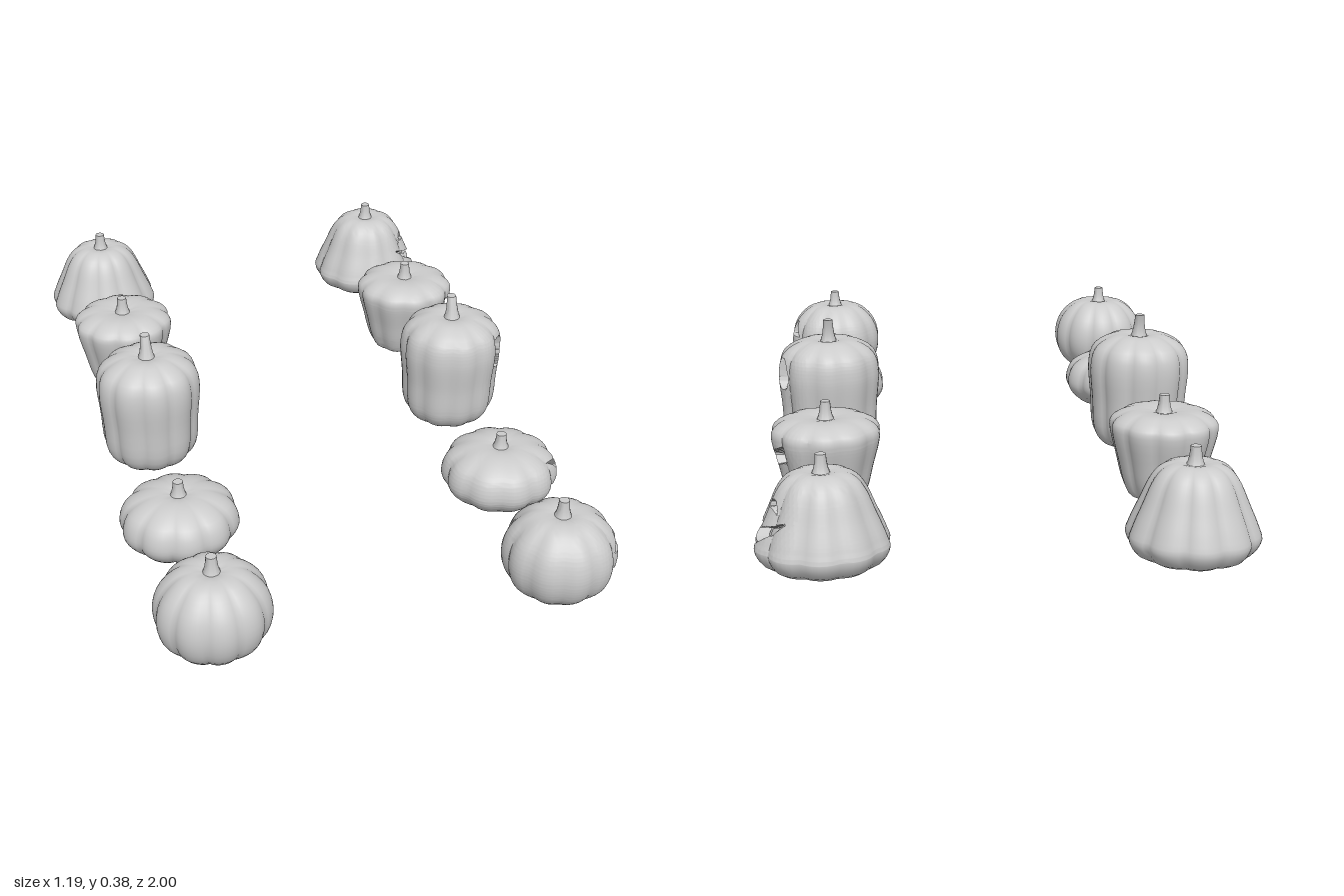
import * as THREE from 'three';
import { toCreasedNormals } from 'three/addons/utils/BufferGeometryUtils.js';

const material = new THREE.MeshStandardMaterial({ color: 0xcccccc });
const LOBES = 10, CARVE_DEPTH = 0.03, SNAP = 0.0013;

// Face outlines are [across, up] in hundredths of a unit, seen from the carved side
const mirror = (pts) => pts.map(([u, v]) => [-u, v]).reverse();
const pair = (pts) => [pts, mirror(pts)];
const symmetric = (half) => [...half, ...mirror(half)];

function oval(u, v, ru, rv, tilt = 0, sides = 28) {
  return Array.from({ length: sides }, (_, i) => {
    const a = (i / sides) * Math.PI * 2, x = ru * Math.cos(a), y = rv * Math.sin(a);
    return [u + x * Math.cos(tilt) - y * Math.sin(tilt), v + x * Math.sin(tilt) + y * Math.cos(tilt)];
  });
}

// Small upright triangle for a nose
const nose = (top, bottom, half) => [[0, top], [half, bottom], [-half, bottom]];

// Crescent between two parabolas that meet at its corners
function crescent(u, halfWidth, corner, top, bottom) {
  const edge = (mid) => Array.from({ length: 17 }, (_, i) => {
    const k = i / 8 - 1;
    return [u + k * halfWidth, mid + (corner - mid) * k * k];
  });
  return [...edge(top), ...edge(bottom).reverse().slice(1, -1)];
}

// Zigzag band with pointed ends
function zigzag(halfWidth, v, swing, thickness, steps) {
  const upper = Array.from({ length: steps + 1 }, (_, i) =>
    [halfWidth * ((2 * i) / steps - 1), v + (i % 2 ? -swing : swing)]);
  const lower = upper.slice(1, -1).map(([x, y]) => [x, y - thickness]);
  return [...upper, ...lower.reverse()];
}

// Body profile: a shared foot and top dimple around the given side points
const profile = (top, ...sides) =>
  [[0, 0.015], [0.05, 0.004], ...sides, [0.04, top], [0, top - 0.012]].map((p) => new THREE.Vector2(...p));

const round = {
  name: 'round', z: 0.86, top: 0.236, stemTop: 0.277, lean: 0,
  sides: [[0.08, 0.015], [0.125, 0.06], [0.14, 0.12], [0.126, 0.18], [0.085, 0.225]],
  face: [...pair([[3.8, 19.3], [7.2, 14], [1.8, 14.4]]), nose(14.4, 11.6, 2.1), crescent(0, 8.8, 11.5, 7.3, 3.8)],
};
const flat = {
  name: 'flat', z: 0.44, top: 0.165, stemTop: 0.2, lean: 0,
  sides: [[0.1, 0.015], [0.14, 0.05], [0.151, 0.085], [0.135, 0.13], [0.09, 0.158]],
  face: [...pair([[1.9, 11.8], [7.2, 13.6], [5.2, 9.8]]), oval(0, 8.6, 1.4, 1.6, 0, 4), zigzag(9, 6.5, 0.85, 2.8, 6)],
};
const tall = {
  name: 'tall', z: 0.018, top: 0.33, stemTop: 0.388, lean: 0.012,
  sides: [[0.095, 0.015], [0.125, 0.06], [0.132, 0.15], [0.139, 0.24], [0.125, 0.295], [0.08, 0.325]],
  face: [oval(-6.1, 23, 2.7, 4.8), oval(5.1, 24.5, 2.2, 4.4, 0.15), oval(0.2, 17, 1.9, 4), oval(2.8, 8.2, 6.2, 2.2, 0.42)],
};
const tapered = {
  name: 'tapered', z: -0.415, top: 0.235, stemTop: 0.277, lean: 0,
  sides: [[0.085, 0.01], [0.105, 0.05], [0.12, 0.11], [0.138, 0.185], [0.13, 0.215], [0.09, 0.235]],
  face: [...pair([[1.8, 14.5], [7.8, 18.2], [7, 13.5], [3.8, 12.2]]), nose(13.3, 10.8, 1.6),
    symmetric([[0.01, 7.8], [2.5, 6.5], [4, 8.5], [7.3, 9.8], [6.5, 4.5], [4.8, 2.6], [3.2, 5], [0.01, 4.2]])],
};
const bell = {
  name: 'bell', z: -0.843, top: 0.236, stemTop: 0.277, lean: 0,
  sides: [[0.125, 0.012], [0.157, 0.05], [0.15, 0.085], [0.127, 0.14], [0.103, 0.195], [0.077, 0.225]],
  face: [...pair(crescent(3.9, 2.7, 15, 18.2, 16.2)), crescent(0, 10.7, 15, 11, 6.5)],
};

// Signed distance to a set of outlines (negative inside) and the nearest outline point
function nearestOutline(shapes, u, v) {
  let best = Infinity, inside = false, point = [u, v];
  for (const s of shapes) {
    for (let i = 0, j = s.length - 1; i < s.length; j = i++) {
      const [ax, ay] = s[j], [bx, by] = s[i], dx = bx - ax, dy = by - ay;
      const k = THREE.MathUtils.clamp(((u - ax) * dx + (v - ay) * dy) / (dx * dx + dy * dy || 1), 0, 1);
      const p = [ax + k * dx, ay + k * dy], d = Math.hypot(u - p[0], v - p[1]);
      if (d < best) { best = d; point = p; }
      if ((ay > v) !== (by > v) && u < ax + ((v - ay) / dy) * dx) inside = !inside;
    }
  }
  return { d: inside ? -best : best, point };
}

// Evenly spaced values through breakpoints; counts gives the steps in each span
function spans(breaks, counts) {
  return counts.flatMap((n, k) =>
    Array.from({ length: n }, (_, i) => THREE.MathUtils.lerp(breaks[k], breaks[k + 1], i / n)));
}

// Ribbed body swept from the profile; a carved one has its face recessed on +x
function bodyGeometry(style, carved) {
  const curve = new THREE.SplineCurve(profile(style.top, ...style.sides));
  const shapes = style.face.map((s) => s.map(([u, v]) => [u / 100, v / 100]));
  let rows = spans([0, 1], [28]);
  let angles = spans([0, Math.PI * 2], [80]);
  if (carved) {
    // Finer rows and columns where the face is
    const heights = shapes.flat().map((p) => p[1]);
    const find = (y) => {
      let t = 0.15;
      while (t < 0.95 && curve.getPoint(t).y < y) t += 0.005;
      return t;
    };
    rows = spans([0, find(Math.min(...heights) - 0.006), find(Math.max(...heights) + 0.006), 1], [10, 58, 10]);
    const mid = Math.PI / 2, half = 1.15;
    angles = spans([mid - half, mid + half, mid - half + Math.PI * 2], [96, 40]);
  }
  rows.push(1);

  const position = [], index = [], cols = angles.length;
  rows.forEach((t, i) => {
    const p = curve.getPoint(t);
    angles.forEach((a, j) => {
      const rib = 1 - 0.075 * (1 - Math.pow(Math.abs(Math.cos((a * LOBES) / 2)), 0.8));
      const r = Math.max(p.x, 0.001) * rib;
      let x = r * Math.sin(a) * 1.03, y = p.y, z = r * Math.cos(a);
      if (carved && x > 0.02) {
        const { d, point } = nearestOutline(shapes, -z, y);
        if (Math.abs(d) < SNAP) { z = -point[0]; y = point[1]; }
        else if (d < 0) x -= CARVE_DEPTH;
      }
      position.push(x, y, z);
      if (i < rows.length - 1) {
        const a0 = i * cols + j, b0 = i * cols + ((j + 1) % cols);
        index.push(a0, b0, a0 + cols, b0, b0 + cols, a0 + cols);
      }
    });
  });
  const geometry = new THREE.BufferGeometry();
  geometry.setAttribute('position', new THREE.Float32BufferAttribute(position, 3));
  geometry.setIndex(index);
  if (carved) return toCreasedNormals(geometry, 0.7);
  geometry.computeVertexNormals();
  return geometry;
}

// Tapered stem with a flared foot and an optional lean
function stemGeometry({ top, stemTop, lean }) {
  const bottom = top - 0.016, h = stemTop - bottom;
  const geometry = new THREE.CylinderGeometry(1, 1, h, 14, 6);
  const p = geometry.attributes.position;
  for (let i = 0; i < p.count; i++) {
    const t = p.getY(i) / h + 0.5;
    const r = 0.013 + 0.004 * (1 - t) + 0.01 * Math.pow(1 - t, 3);
    p.setXYZ(i, p.getX(i) * r, bottom + t * h, p.getZ(i) * r - lean * t * t);
  }
  return toCreasedNormals(geometry, 0.7);
}

function createPumpkin(style, carved) {
  const group = new THREE.Group();
  group.name = `${style.name}${carved ? 'Carved' : 'Plain'}Pumpkin`;
  const body = new THREE.Mesh(bodyGeometry(style, carved), material);
  body.name = carved ? 'carvedBody' : 'body';
  const stem = new THREE.Mesh(stemGeometry(style), material);
  stem.name = 'stem';
  group.add(body, stem);
  return group;
}

export function createModel() {
  const model = new THREE.Group();
  model.name = 'pumpkins';
  // Plain row on the right, carved row on the left
  for (const style of [round, flat, tall, tapered, bell]) {
    for (const carved of [false, true]) {
      const pumpkin = createPumpkin(style, carved);
      pumpkin.position.set(carved ? 0.435 : -0.44, 0, style.z);
      model.add(pumpkin);
    }
  }
  return model;
}
